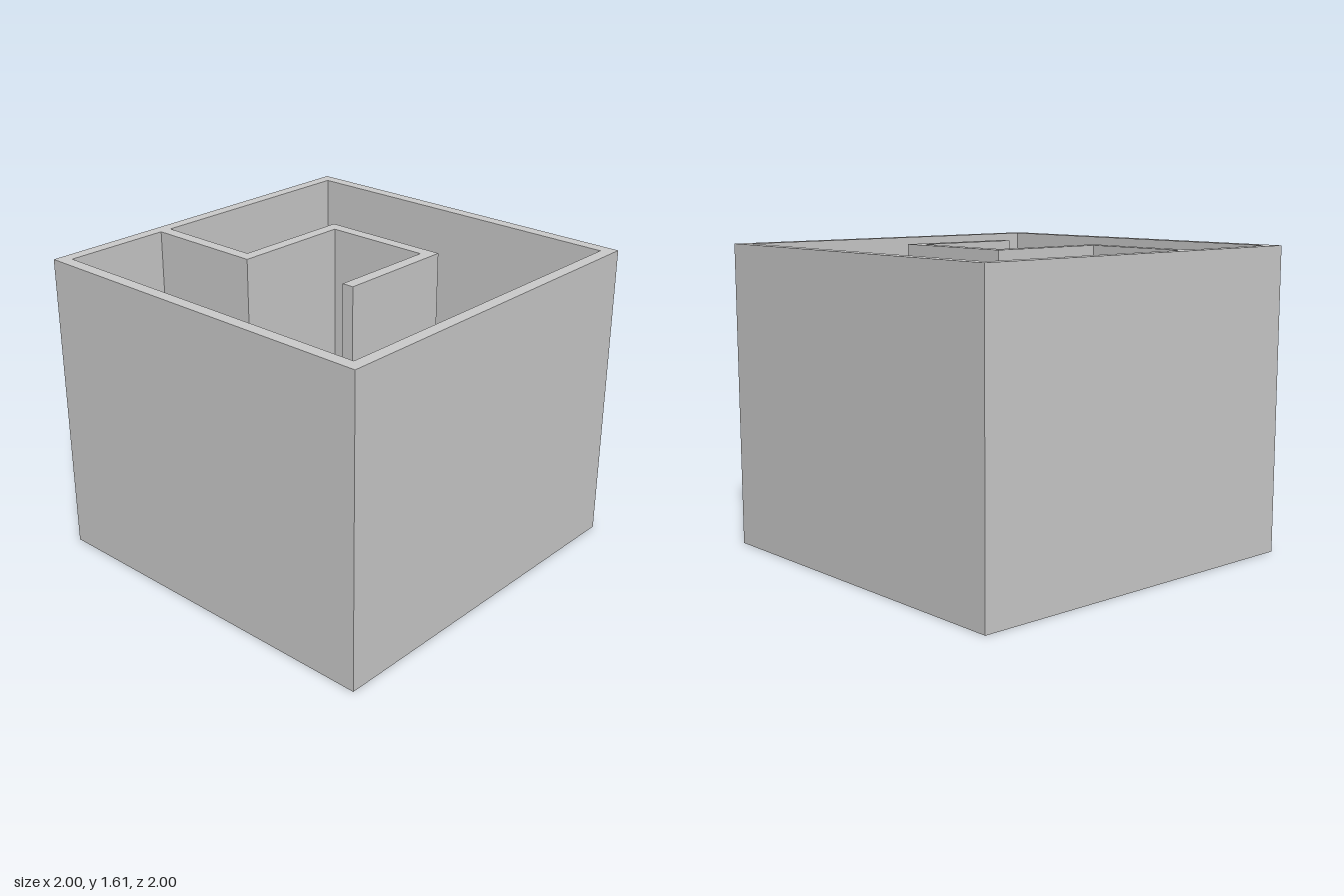
import * as THREE from 'three';

// The box is laid out on a grid of 31 wall thicknesses per side.
const U = 2 / 31;
const SIZE = 31, HEIGHT = 25, FLOOR = 1;

// Plan point in wall thicknesses: i from the right (-x), k from the back (-z).
const plan = ([i, k]) => new THREE.Vector2(i * U - 1, 1 - k * U);

export function createModel() {
  const model = new THREE.Group();
  model.name = 'mazeBox';
  const material = new THREE.MeshStandardMaterial({ color: 0xcccccc });

  // Floor slab
  const floor = new THREE.Mesh(new THREE.BoxGeometry(SIZE * U, FLOOR * U, SIZE * U), material);
  floor.name = 'floor';
  floor.position.y = FLOOR * U / 2;
  model.add(floor);

  // Outer walls and the bent partition: a square with the open room cut out.
  // The square runs anticlockwise and the room clockwise, so all walls face outward.
  const outline = new THREE.Shape([[0, 0], [0, SIZE], [SIZE, SIZE], [SIZE, 0]].map(plan));
  const room = [
    [1, 1], [30, 1], [30, 30], [1, 30],
    [1, 21], [11, 21], [11, 11], [20, 11], [20, 20], // front side of the partition
    [21, 20], [21, 10], [10, 10], [10, 20], [1, 20], // back side of the partition
  ];
  outline.holes.push(new THREE.Path(room.map(plan)));
  const wallGeometry = new THREE.ExtrudeGeometry(outline, {
    depth: (HEIGHT - FLOOR) * U,
    bevelEnabled: false,
  });
  wallGeometry.rotateX(-Math.PI / 2);
  const walls = new THREE.Mesh(wallGeometry, material);
  walls.name = 'walls';
  walls.position.y = FLOOR * U;
  model.add(walls);

  return model;
}
